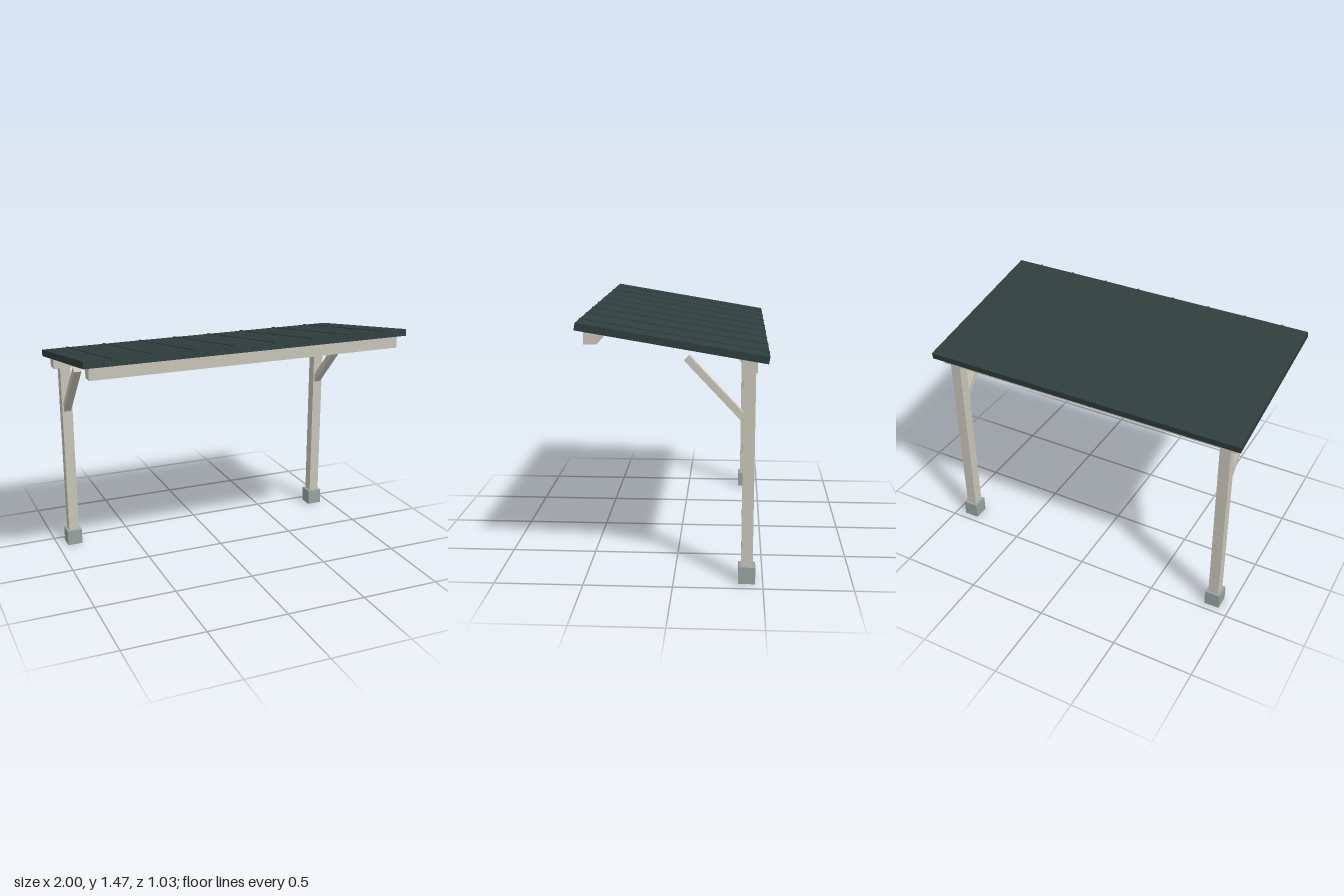
import * as THREE from 'three';

export function createModel() {
  const mat = (name, color) => {
    const m = new THREE.MeshStandardMaterial({ color });
    m.name = name;
    return m;
  };
  const wood = mat('pale timber', 0xc8c4b7);
  const stone = mat('grey stone', 0x98a2a1);
  const metal = mat('dark green metal', 0x2f3e3e);

  const model = new THREE.Group();
  model.name = 'leanToCanopy';

  const box = (name, size, pos, material, parent = model) => {
    const mesh = new THREE.Mesh(new THREE.BoxGeometry(...size), material);
    mesh.name = name;
    mesh.position.set(...pos);
    parent.add(mesh);
    return mesh;
  };

  // Sloping roof panel with raised standing seams
  const roof = new THREE.Group();
  roof.name = 'roof';
  roof.position.y = 1.3615;
  roof.rotation.x = -0.165;
  model.add(roof);
  box('roofPanel', [2, 0.04, 1.033], [0, 0, 0], metal, roof);
  for (let i = 0; i < 8; i++) {
    box('roofSeam', [0.01, 0.014, 1.038], [-0.84 + i * 0.24, 0.017, 0], metal, roof);
  }

  // Horizontal beams under the roof
  box('frontBeam', [1.925, 0.071, 0.07], [0, 1.382, 0.435], wood);
  box('backBeam', [1.925, 0.078, 0.081], [0, 1.242, -0.41], wood);

  // Post, footing and diagonal brace on each side
  const low = new THREE.Vector2(-0.41, 0.912);
  const high = new THREE.Vector2(-0.074, 1.268);
  const run = high.clone().sub(low);
  for (const [side, s] of [['left', 1], ['right', -1]]) {
    const x = s * 0.89;
    box(side + 'Footing', [0.095, 0.098, 0.095], [x, 0.049, -0.41], stone);
    box(side + 'Post', [0.065, 1.115, 0.065], [x, 0.6475, -0.41], wood);
    const brace = box(side + 'Brace', [0.045, 0.038, run.length()],
      [x, (low.y + high.y) / 2, (low.x + high.x) / 2], wood);
    brace.rotation.x = -Math.atan2(run.y, run.x);
  }
  return model;
}
